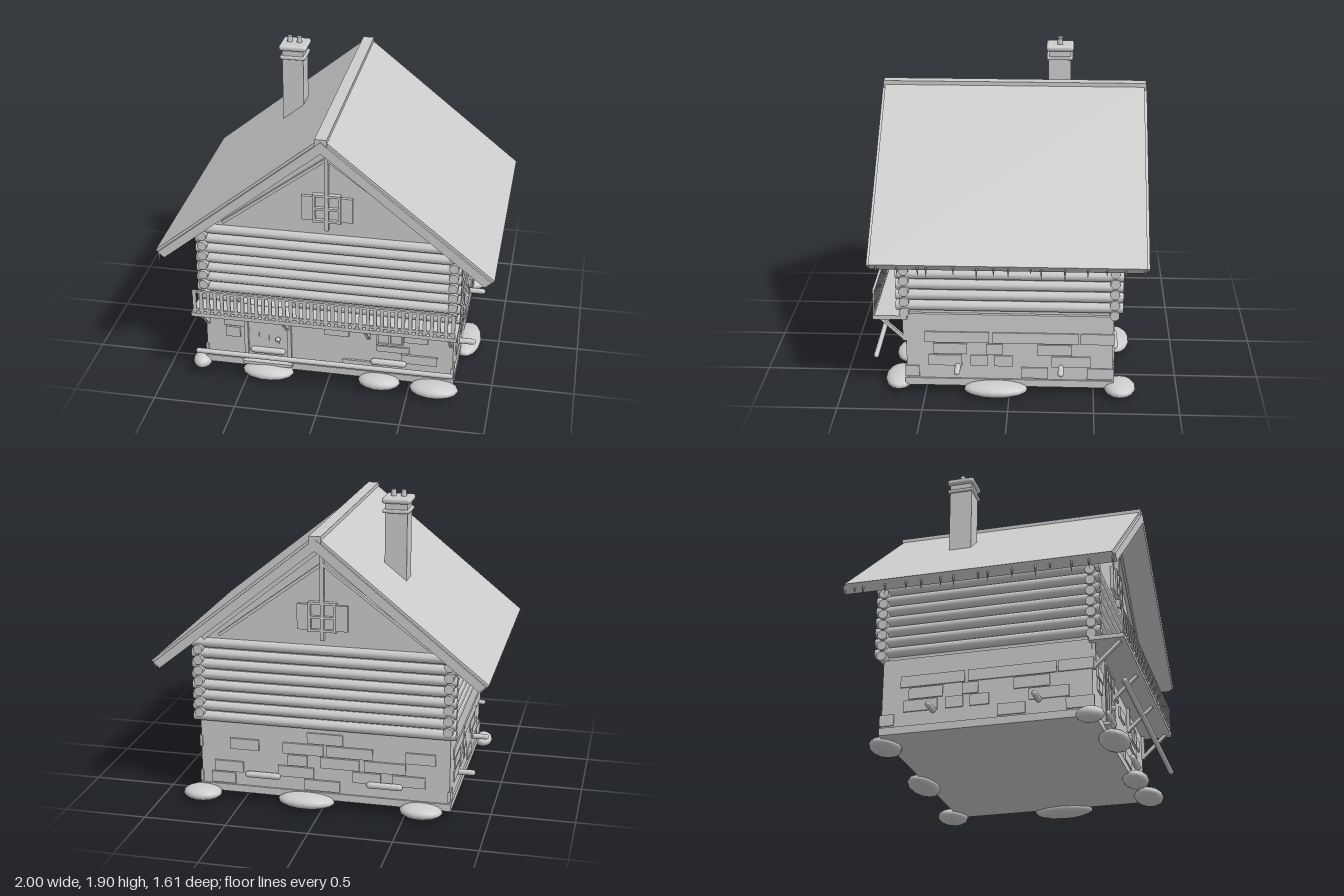
import * as THREE from 'three';
import { RoundedBoxGeometry } from 'three/addons/geometries/RoundedBoxGeometry.js';

export function createModel() {
  const model = new THREE.Group();
  model.name = 'cabin';
  const grey = new THREE.MeshStandardMaterial({ color: 0xcccccc });
  grey.name = 'plain grey';

  const add = (name, geometry, x = 0, y = 0, z = 0, parent = model) => {
    const mesh = new THREE.Mesh(geometry, grey);
    mesh.name = name;
    mesh.position.set(x, y, z);
    parent.add(mesh);
    return mesh;
  };
  // box given by its limits
  const box = (name, x0, x1, y0, y1, z0, z1, parent = model) =>
    add(name, new THREE.BoxGeometry(x1 - x0, y1 - y0, z1 - z0),
      (x0 + x1) / 2, (y0 + y1) / 2, (z0 + z1) / 2, parent);
  // outline in x and y, extruded from z0 to z1
  const slab = (name, points, z0, z1, parent = model) => {
    const shape = new THREE.Shape(points.map(([x, y]) => new THREE.Vector2(x, y)));
    const g = new THREE.ExtrudeGeometry(shape, { depth: z1 - z0, bevelEnabled: false });
    return add(name, g, 0, 0, z0, parent);
  };
  // square bar between two points
  const bar = (name, a, b, w, d, parent = model) => {
    const from = new THREE.Vector3(...a), to = new THREE.Vector3(...b);
    const mid = from.clone().add(to).multiplyScalar(0.5);
    const mesh = add(name, new THREE.BoxGeometry(w, from.distanceTo(to), d), mid.x, mid.y, mid.z, parent);
    mesh.quaternion.setFromUnitVectors(new THREE.Vector3(0, 1, 0), to.sub(from).normalize());
    return mesh;
  };
  let seed = 7;
  const random = () => (seed = (seed * 16807) % 2147483647) / 2147483647;

  // stone ground floor
  box('stoneWall', -0.765, 0.765, 0.05, 0.51, -0.61, 0.61);
  box('plinth', -0.775, 0.775, 0.05, 0.095, -0.62, 0.62);

  // raised stones: start, end, row; rows run upwards
  const rowY = (r) => 0.105 + r * 0.075;
  const sideStones = [
    [-0.5, -0.12, 3], [-0.1, 0.41, 3], [0.42, 0.62, 3], [-0.45, -0.25, 2], [-0.135, -0.04, 2],
    [0.165, 0.37, 2], [-0.48, -0.28, 1], [-0.23, -0.13, 1], [-0.09, 0.02, 1], [0.25, 0.48, 1],
    [-0.62, -0.535, 0], [0.07, 0.23, 0], [0.46, 0.62, 0],
  ];
  for (const [a, b, r] of sideStones) {
    const y = rowY(r);
    box('sideStone', 0.755, 0.773, y, y + 0.068, -b, -a);
    box('sideStone', -0.773, -0.755, y, y + 0.068, a, b);
  }
  const backStones = [
    [-0.62, -0.42, 1], [-0.35, -0.18, 1], [-0.5, -0.25, 2], [-0.22, 0.02, 2], [-0.3, -0.02, 3],
    [0, 0.25, 3], [0.06, 0.28, 1], [0.1, 0.22, 2], [0.4, 0.58, 3], [0.5, 0.68, 1],
    [-0.1, 0.12, 0], [-0.68, -0.5, 3], [0.55, 0.7, 0], [-0.12, 0.1, 4],
  ];
  for (const [a, b, r] of backStones) box('backStone', a, b, rowY(r), rowY(r) + 0.068, -0.623, -0.6);
  const frontStones = [
    [-0.22, -0.06, 0.4, 0.47], [-0.65, -0.52, 0.33, 0.395], [-0.02, 0.13, 0.33, 0.395],
    [-0.64, -0.55, 0.25, 0.32], [0.47, 0.61, 0.33, 0.395], [0.09, 0.3, 0.105, 0.165],
    [0.45, 0.67, 0.18, 0.24], [0.3, 0.5, 0.25, 0.29],
  ];
  for (const [a, b, y0, y1] of frontStones) box('frontStone', a, b, y0, y1, 0.6, 0.623);

  // door with frame, strap, knob and step
  box('door', -0.495, -0.245, 0.1, 0.475, 0.6, 0.622);
  for (const x of [-0.51, -0.24]) box('doorPost', x - 0.012, x + 0.012, 0.1, 0.49, 0.6, 0.632);
  box('doorLintel', -0.522, -0.228, 0.47, 0.49, 0.6, 0.632);
  box('doorStrap', -0.48, -0.28, 0.4, 0.412, 0.62, 0.627);
  for (let i = 1; i < 4; i++) box('doorBatten', -0.496 + i * 0.0625, -0.492 + i * 0.0625, 0.11, 0.465, 0.62, 0.626);
  add('doorKnob', new THREE.SphereGeometry(0.016, 10, 8), -0.31, 0.27, 0.636);
  box('doorStep', -0.53, -0.22, 0.085, 0.105, 0.6, 0.66);

  // ground floor window
  box('windowPane', 0.31, 0.45, 0.31, 0.405, 0.6, 0.618);
  for (const x of [0.305, 0.38, 0.455]) box('windowUpright', x - 0.006, x + 0.006, 0.3, 0.41, 0.6, 0.63);
  for (const y of [0.305, 0.405]) box('windowRail', 0.3, 0.46, y - 0.006, y + 0.006, 0.6, 0.63);

  // log upper floor: crossed logs, half a row apart
  box('logWallCore', -0.745, 0.745, 0.5, 1.02, -0.6, 0.6);
  const logGeometry = (length) => new THREE.CylinderGeometry(0.03, 0.03, length, 8).rotateY(Math.PI / 8);
  const longLog = logGeometry(1.6).rotateZ(Math.PI / 2);
  const sideLog = logGeometry(1.33).rotateX(Math.PI / 2);
  for (let i = 0; i < 8; i++) {
    const y = 0.53 + i * 0.0665;
    for (const s of [-1, 1]) {
      add('gableLog', longLog, 0, y, s * 0.615);
      if (i < 7) add('sideLog', sideLog, s * 0.755, y + 0.033, 0);
    }
  }

  // gable ends with timbers and shuttered window, front and back
  for (const turn of [0, Math.PI]) {
    const gable = new THREE.Group();
    gable.name = turn ? 'backGable' : 'frontGable';
    gable.rotation.y = turn;
    model.add(gable);
    slab('gableWall', [[-0.79, 1.0], [0.79, 1.0], [0, 1.65]], 0.57, 0.61, gable);
    bar('kingPost', [0, 1.06, 0.625], [0, 1.63, 0.625], 0.022, 0.03, gable);
    for (const s of [-1, 1]) {
      bar('gableRafter', [s * 0.73, 1.025, 0.62], [0, 1.615, 0.62], 0.025, 0.03, gable);
      bar('gableBrace', [s * 0.63, 1.05, 0.62], [0, 1.52, 0.62], 0.018, 0.025, gable);
      // windows and shutters
      box('shutter', s < 0 ? -0.152 : 0.08, s < 0 ? -0.08 : 0.152, 1.12, 1.275, 0.605, 0.63, gable);
      box('windowUpright', s * 0.076 - 0.008, s * 0.076 + 0.008, 1.11, 1.29, 0.605, 0.64, gable);
      add('shutterHeart', new THREE.CircleGeometry(0.012, 3).rotateZ(-Math.PI / 2), s * 0.115, 1.22, 0.633, gable);
    }
    box('gableWindowPane', -0.07, 0.07, 1.115, 1.285, 0.605, 0.618, gable);
    for (const y of [1.12, 1.2, 1.285]) box('windowRail', -0.08, 0.08, y - 0.007, y + 0.007, 0.605, 0.64, gable);
  }

  // roof slab, barge boards and ridge
  slab('roof', [[-0.955, 0.87], [0, 1.645], [0.955, 0.87], [1, 0.915], [0.03, 1.7], [-0.03, 1.7], [-1, 0.915]], -0.785, 0.785);
  for (const s of [-1, 1]) {
    const z0 = s > 0 ? 0.78 : -0.8;
    slab('bargeBoard', [[-0.945, 0.875], [0, 1.635], [0.945, 0.875], [0.985, 0.908], [0, 1.705], [-0.985, 0.908]], z0, z0 + 0.02);
  }
  box('ridgeBeam', -0.035, 0.035, 1.675, 1.72, -0.795, 0.795);

  // icicles under the eaves
  for (const s of [-1, 1]) {
    for (let i = 0; i < 15; i++) {
      const h = 0.03 + random() * 0.055;
      const cone = new THREE.ConeGeometry(0.007, h, 6).rotateX(Math.PI);
      add('icicle', cone, s * 0.98, 0.895 - h / 2, -0.76 + i * 0.108 + (random() - 0.5) * 0.08);
    }
  }

  // chimney
  box('chimneyStack', -0.44, -0.308, 1.3, 1.84, -0.34, -0.2);
  add('chimneyBand', new RoundedBoxGeometry(0.16, 0.022, 0.165, 2, 0.008), -0.374, 1.782, -0.27);
  add('chimneyCap', new RoundedBoxGeometry(0.172, 0.036, 0.172, 3, 0.016), -0.374, 1.845, -0.27);
  for (const x of [-0.405, -0.345]) add('chimneyPot', new THREE.CylinderGeometry(0.015, 0.018, 0.05, 12), x, 1.875, -0.27);

  // balcony floor, railing and brackets
  box('balconyFloor', -0.8, 0.8, 0.485, 0.51, 0.6, 0.8);
  box('topRail', -0.79, 0.79, 0.65, 0.664, 0.785, 0.8);
  box('bottomRail', -0.79, 0.79, 0.525, 0.54, 0.787, 0.798);
  for (let i = 0; i < 38; i++) {
    const x = -0.777 + i * 0.042;
    box('baluster', x - 0.011, x + 0.011, 0.51, 0.655, 0.788, 0.797);
  }
  for (const x of [-0.75, -0.25, 0.25, 0.75]) {
    bar('balconyBracket', [x, 0.34, 0.615], [x, 0.485, 0.77], 0.02, 0.02);
    box('bracketPost', x - 0.01, x + 0.01, 0.33, 0.485, 0.605, 0.63);
  }
  const bench = add('balconyBench', new THREE.SphereGeometry(1, 16, 10), -0.36, 0.57, 0.695);
  bench.scale.set(0.18, 0.02, 0.048);

  // front pole and short stubs around the base
  const capsule = (name, r, length, x, y, z) =>
    add(name, new THREE.CapsuleGeometry(r, length - 2 * r, 4, 10).rotateZ(Math.PI / 2), x, y, z);
  capsule('frontPole', 0.016, 1.57, 0, 0.237, 0.79);
  for (const s of [-1, 1]) {
    for (const t of [-1, 1]) {
      capsule('gableStub', 0.02, 0.22, s * 0.375, 0.178, t * 0.63);
      capsule('sideStub', 0.018, 0.22, s * 0.765, 0.178, t * 0.305);
    }
  }

  // flattened boulders: x, z, half width, half depth
  const boulders = [
    [-0.8, 0.6, 0.06, 0.08], [-0.37, 0.65, 0.16, 0.09], [0.32, 0.64, 0.13, 0.08], [0.66, 0.66, 0.15, 0.09],
    [0.8, 0.08, 0.09, 0.19], [0.75, -0.655, 0.12, 0.095], [0.1, -0.64, 0.175, 0.09], [-0.6, -0.64, 0.13, 0.09],
  ];
  const boulder = new THREE.SphereGeometry(1, 14, 10);
  for (const [x, z, rx, rz] of boulders) {
    const rock = add('boulder', boulder, x, 0.047, z);
    rock.scale.set(rx, 0.045, rz);
  }

  return model;
}
